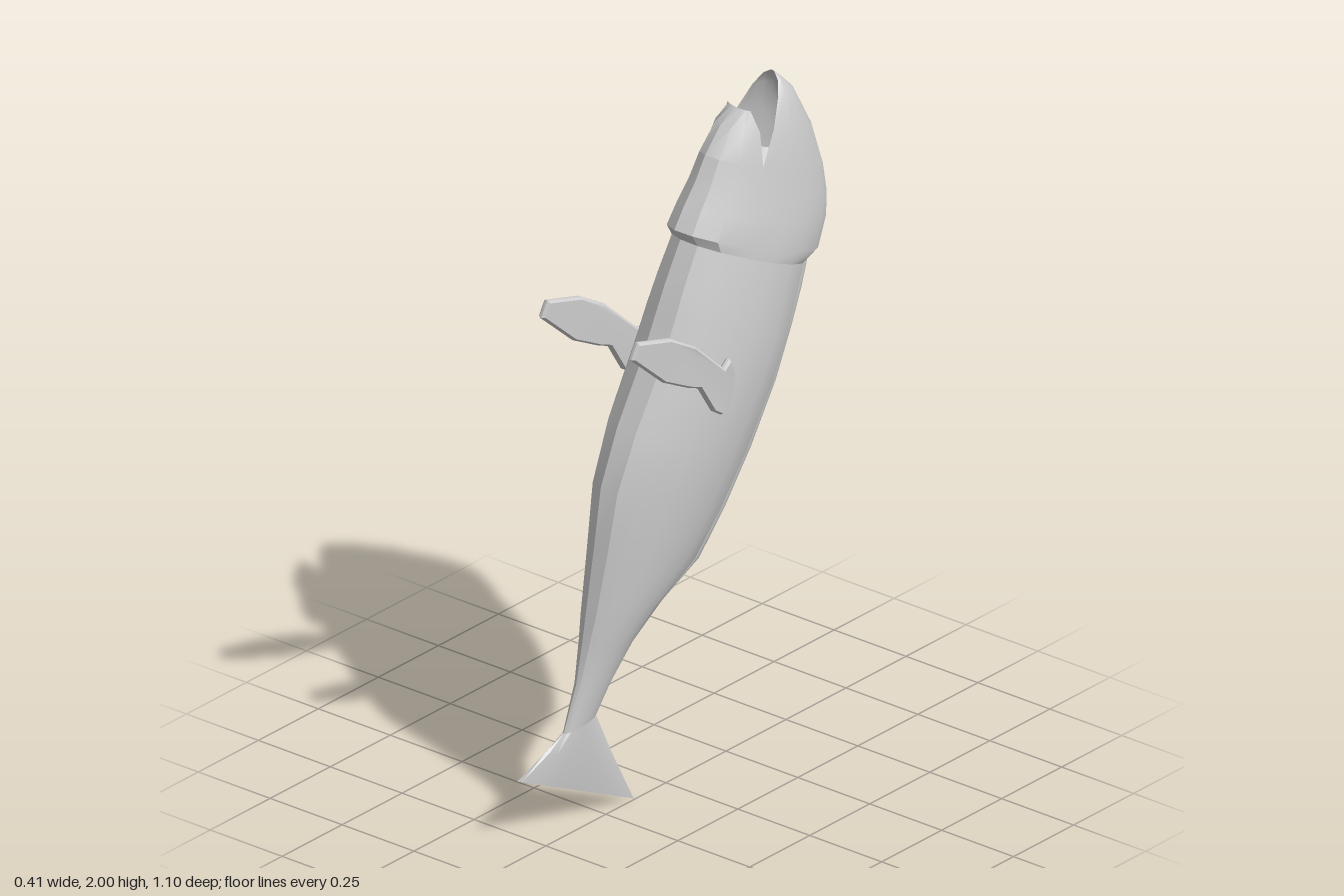
import * as THREE from 'three';
import { toCreasedNormals } from 'three/addons/utils/BufferGeometryUtils.js';

const SEGMENTS = 16;
const MOUTH = Math.PI * 3 / 8; // ring angle where the jaws split

// Skin over cross-sections [bellyZ, bellyY, backZ, backY, halfWidth].
// Angle 0 is the belly and PI the back; a partial range makes a jaw shell.
function loft(rings, from = 0, to = Math.PI * 2) {
  const fraction = (t) => (1 - Math.cos(t)) / 2;
  const low = from > 0 ? fraction(from) : 0;
  const high = from < 0 ? fraction(to) : 1;
  const n = Math.round((to - from) / (Math.PI * 2 / SEGMENTS));
  const pos = [], index = [];
  rings.forEach(([z0, y0, z1, y1, w], r) => {
    for (let i = 0; i <= n; i++) {
      const t = from + (to - from) * i / n;
      const s = (fraction(t) - low) / (high - low);
      pos.push(w * Math.sin(t), y0 + (y1 - y0) * s, z0 + (z1 - z0) * s);
      if (r > 0 && i < n) {
        const d = r * (n + 1) + i, a = d - n - 1;
        index.push(a, a + 1, d + 1, a, d + 1, d);
      }
    }
  });
  const g = new THREE.BufferGeometry();
  g.setAttribute('position', new THREE.Float32BufferAttribute(pos, 3));
  g.setIndex(index);
  return toCreasedNormals(g, 0.45);
}

export function createModel() {
  const model = new THREE.Group();
  const material = new THREE.MeshStandardMaterial({ color: 0xcccccc, side: THREE.DoubleSide });
  const add = (name, geometry) => {
    const mesh = new THREE.Mesh(geometry, material);
    mesh.name = name;
    model.add(mesh);
    return mesh;
  };

  // Trunk, from the tail root up to the gills
  const tailRoot = [0.386, 0.283, 0.27, 0.305, 0.018];
  const gill = [-0.04, 1.61, -0.46, 1.425, 0.132];
  add('body', loft([
    tailRoot,
    [0.34, 0.415, 0.225, 0.38, 0.03],
    [0.318, 0.53, 0.14, 0.5, 0.055],
    [0.307, 0.6, 0.05, 0.585, 0.075],
    [0.275, 0.8, -0.075, 0.675, 0.105],
    [0.25, 0.97, -0.16, 0.79, 0.127],
    [0.19, 1.13, -0.25, 0.94, 0.144],
    [0.095, 1.315, -0.34, 1.11, 0.15],
    [0.05, 1.42, -0.4, 1.24, 0.148],
    [0.015, 1.5, -0.432, 1.34, 0.141],
    gill,
  ]));

  // Head with a raised gill edge, ending at the mouth corner
  const mouthRing = [-0.13, 1.83, -0.54, 1.685, 0.1];
  add('head', loft([
    gill,
    [-0.018, 1.645, -0.515, 1.445, 0.131],
    [-0.05, 1.7, -0.547, 1.53, 0.122],
    [-0.095, 1.765, -0.552, 1.6, 0.111],
    mouthRing,
  ]));
  add('throat', loft([mouthRing, [-0.22, 1.67, -0.38, 1.62, 0.05], [-0.28, 1.61, -0.3, 1.6, 0.002]]));
  add('upperJaw', loft([
    [-0.257, 1.785, -0.54, 1.685, 0.1],
    [-0.31, 1.875, -0.497, 1.82, 0.083],
    [-0.35, 1.95, -0.434, 1.945, 0.055],
    [-0.368, 1.985, -0.395, 1.985, 0.032],
    [-0.376, 2, -0.378, 2, 0.008],
  ], MOUTH, Math.PI * 2 - MOUTH));
  add('lowerJaw', loft([
    [-0.13, 1.83, -0.257, 1.785, 0.1],
    [-0.185, 1.9, -0.262, 1.88, 0.08],
    [-0.24, 1.938, -0.255, 1.935, 0.048],
  ], -MOUTH, MOUTH));

  // Low ridge along the back
  add('dorsalRidge', loft([
    [0.2, 0.46, 0.17, 0.45, 0.01],
    [0.11, 0.56, 0.03, 0.572, 0.022],
    [-0.02, 0.69, -0.1, 0.65, 0.03],
    [-0.11, 0.81, -0.19, 0.77, 0.034],
    [-0.2, 0.96, -0.286, 0.92, 0.036],
    [-0.29, 1.13, -0.376, 1.09, 0.038],
    [-0.35, 1.27, -0.434, 1.235, 0.038],
    [-0.39, 1.37, -0.47, 1.34, 0.038],
    [-0.41, 1.46, -0.497, 1.435, 0.038],
  ]));

  // Vertical tail fin thinning to a sharp edge
  add('tailFin', loft([
    tailRoot,
    [0.45, 0.25, 0.215, 0.18, 0.016],
    [0.555, 0.197, 0.13, 0.005, 0.001],
  ]));

  // Side fins: flat outline in (z, y), with the root bent in to the body
  const outline = [
    [0.285, 1.475], [0.307, 1.43], [0.19, 1.325], [0.1, 1.28], [0.06, 1.265],
    [0.01, 1.18], [-0.02, 1.16], [-0.065, 1.167], [-0.105, 1.245],
    [-0.075, 1.3], [-0.037, 1.29], [0.075, 1.395], [0.165, 1.447],
  ].map(([z, y]) => new THREE.Vector2(z, y));
  for (const [name, side] of [['leftFin', 1], ['rightFin', -1]]) {
    const g = new THREE.ExtrudeGeometry(new THREE.Shape(outline), {
      depth: 0.008, bevelThickness: 0.008, bevelSize: 0.006, bevelOffset: -0.006, bevelSegments: 1,
    });
    const p = g.attributes.position;
    for (let i = 0; i < p.count; i++) {
      const z = p.getX(i), y = p.getY(i);
      const x = 0.172 + p.getZ(i) - 0.45 * Math.max(0, -z - 0.02);
      p.setXYZ(i, side * x, y, z);
    }
    // The (z, y) outline swaps handedness on the left side
    if (side > 0) {
      for (let i = 0; i < p.count; i += 3) {
        const a = new THREE.Vector3().fromBufferAttribute(p, i + 1);
        p.setXYZ(i + 1, p.getX(i + 2), p.getY(i + 2), p.getZ(i + 2));
        p.setXYZ(i + 2, a.x, a.y, a.z);
      }
    }
    g.deleteAttribute('uv');
    g.deleteAttribute('normal');
    add(name, toCreasedNormals(g, 0.6));
  }

  // Slight turn of the whole fish
  model.rotation.y = -0.125;
  model.position.x = 0.012;
  const root = new THREE.Group();
  root.name = 'fish';
  root.add(model);
  return root;
}
